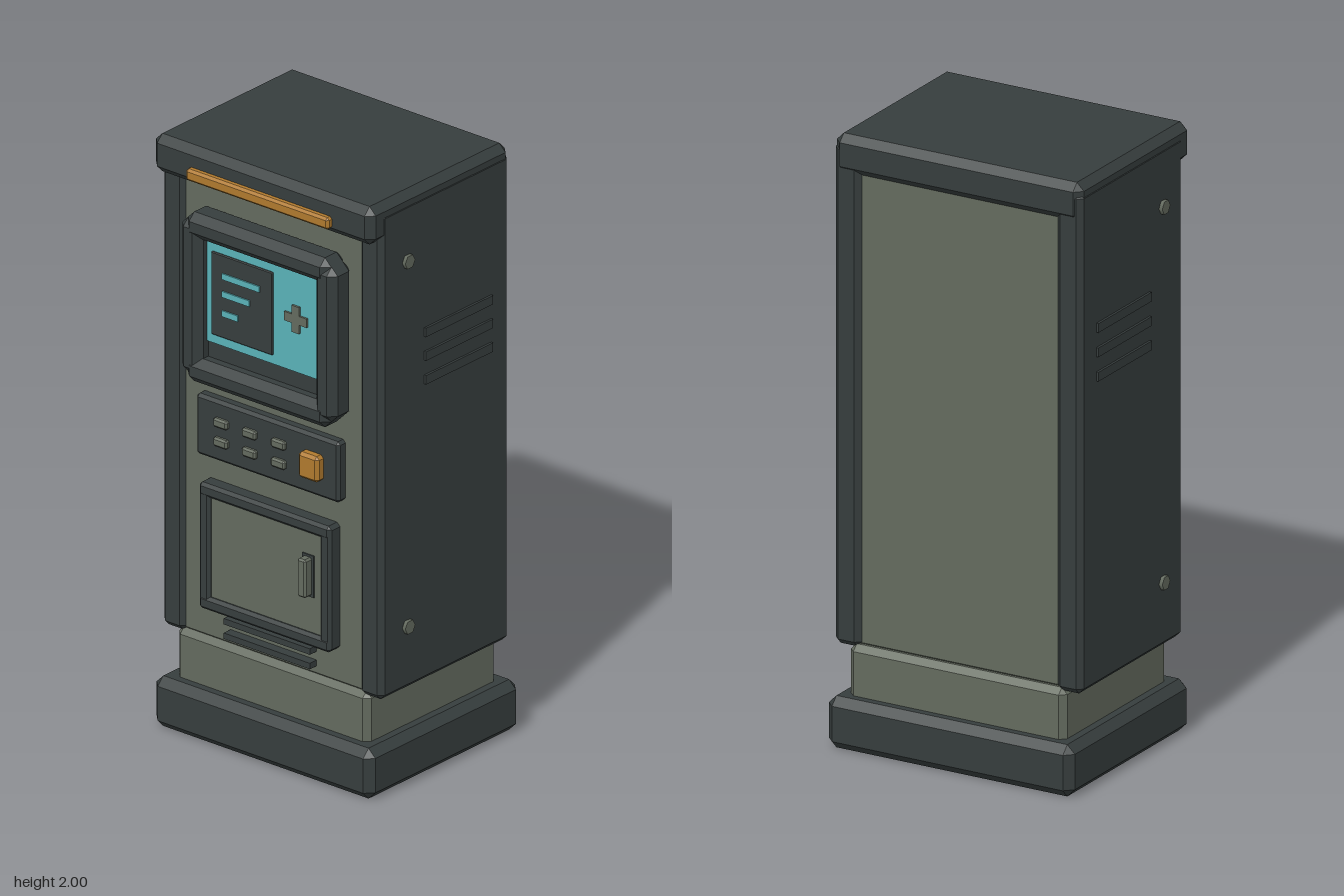
import * as THREE from 'three';
import { ConvexGeometry } from 'three/addons/geometries/ConvexGeometry.js';

const material = (name, color) => {
  const m = new THREE.MeshStandardMaterial({ color });
  m.name = name;
  return m;
};

// Box with every edge cut at 45 degrees
function chamferBox(w, h, d, c) {
  const pts = [];
  for (const x of [-1, 1]) for (const y of [-1, 1]) for (const z of [-1, 1]) {
    const X = w / 2, Y = h / 2, Z = d / 2;
    pts.push(new THREE.Vector3(x * X, y * (Y - c), z * (Z - c)));
    pts.push(new THREE.Vector3(x * (X - c), y * Y, z * (Z - c)));
    pts.push(new THREE.Vector3(x * (X - c), y * (Y - c), z * Z));
  }
  return new ConvexGeometry(pts);
}

export function createModel() {
  const dark = material('dark casing', 0x363d3d);
  const green = material('grey green panel', 0x636a5e);
  const teal = material('teal screen', 0x5ab2b8);
  const orange = material('orange accent', 0xb07a2e);
  const model = new THREE.Group();
  model.name = 'kiosk';

  // Add a block given by its extents on each axis; c is the chamfer
  function block(name, mat, [x0, x1], [y0, y1], [z0, z1], c = 0, parent = model) {
    const w = x1 - x0, h = y1 - y0, d = z1 - z0;
    const geo = c ? chamferBox(w, h, d, c) : new THREE.BoxGeometry(w, h, d);
    const mesh = new THREE.Mesh(geo, mat);
    mesh.name = name;
    mesh.position.set((x0 + x1) / 2, (y0 + y1) / 2, (z0 + z1) / 2);
    parent.add(mesh);
    return mesh;
  }

  // Rectangular frame made of four chamfered bars
  function frame(name, x, [y0, y1], z, t, c, inset) {
    const g = new THREE.Group();
    g.name = name;
    block(name + 'Top', dark, [-x + inset, x - inset], [y1 - t, y1], z, c, g);
    block(name + 'Bottom', dark, [-x + inset, x - inset], [y0, y0 + t], z, c, g);
    for (const s of [-1, 1]) {
      const xs = [s * x, s * (x - t)].sort((a, b) => a - b);
      block(name + 'Side', dark, xs, [y0 + inset, y1 - inset], [z[0], z[1] - 0.002], c, g);
    }
    model.add(g);
  }

  // Foot, plinth, core and cap
  block('base', dark, [-0.44, 0.44], [0, 0.17], [-0.373, 0.347], 0.027);
  block('plinth', green, [-0.387, 0.387], [0.15, 0.335], [-0.322, 0.295], 0.02);
  block('core', green, [-0.385, 0.385], [0.325, 1.92], [-0.298, 0.282], 0.015);
  block('cap', dark, [-0.442, 0.442], [1.872, 2], [-0.32, 0.345], 0.025);
  block('lightStrip', orange, [-0.287, 0.287], [1.895, 1.935], [0.33, 0.366], 0.008);

  // Side panels with vents and hex bolts
  for (const s of [-1, 1]) {
    const span = (a, b) => [s * a, s * b].sort((p, q) => p - q);
    block('sidePanel', dark, span(0.35, 0.444), [0.325, 1.97], [-0.316, 0.296], 0.018);
    for (const y of [1.505, 1.425, 1.345])
      block('sideVent', dark, span(0.43, 0.452), [y - 0.015, y + 0.015], [-0.225, 0.093]);
    for (const y of [1.773, 0.54]) {
      const bolt = new THREE.Mesh(new THREE.CylinderGeometry(0.024, 0.024, 0.03, 6), green);
      bolt.name = 'bolt';
      bolt.rotation.z = Math.PI / 2;
      bolt.position.set(s * 0.441, y, 0.173);
      model.add(bolt);
    }
  }

  // Screen: deep bezel, recessed display, menu card and plus sign
  frame('screenBezel', 0.313, [1.22, 1.792], [0.27, 0.375], 0.085, 0.025, 0.025);
  block('screenBacking', dark, [-0.26, 0.26], [1.26, 1.75], [0.27, 0.325]);
  block('screen', teal, [-0.235, 0.235], [1.36, 1.715], [0.322, 0.331]);
  block('menuCard', dark, [-0.207, 0.04], [1.39, 1.67], [0.328, 0.337], 0.003);
  [[1.6, -0.01], [1.54, -0.05], [1.475, -0.097]].forEach(([y, x1]) =>
    block('menuLine', teal, [-0.16, x1], [y - 0.01, y + 0.01], [0.334, 0.342]));
  block('plusBar', green, [0.088, 0.178], [1.525, 1.555], [0.329, 0.338]);
  block('plusPost', green, [0.118, 0.148], [1.495, 1.585], [0.329, 0.3385]);

  // Control panel with six keys and one large button
  block('controlPanel', dark, [-0.288, 0.288], [0.955, 1.16], [0.27, 0.316], 0.01);
  for (const x of [-0.18, -0.065, 0.052]) for (const y of [1.09, 1.025])
    block('key', green, [x - 0.028, x + 0.028], [y - 0.015, y + 0.015], [0.305, 0.33], 0.006);
  block('mainButton', orange, [0.147, 0.228], [1.015, 1.102], [0.305, 0.346], 0.01);

  // Service door with handle
  frame('doorFrame', 0.266, [0.447, 0.873], [0.27, 0.332], 0.045, 0.01, 0.002);
  block('door', green, [-0.23, 0.23], [0.485, 0.84], [0.27, 0.318]);
  block('handleBacking', dark, [0.147, 0.193], [0.612, 0.753], [0.315, 0.322]);
  block('handle', green, [0.153, 0.187], [0.618, 0.747], [0.318, 0.355], 0.006);

  // Lower front slots
  for (const y of [0.422, 0.373])
    block('frontSlot', dark, [-0.175, 0.172], [y - 0.01, y + 0.01], [0.275, 0.315]);

  return model;
}
